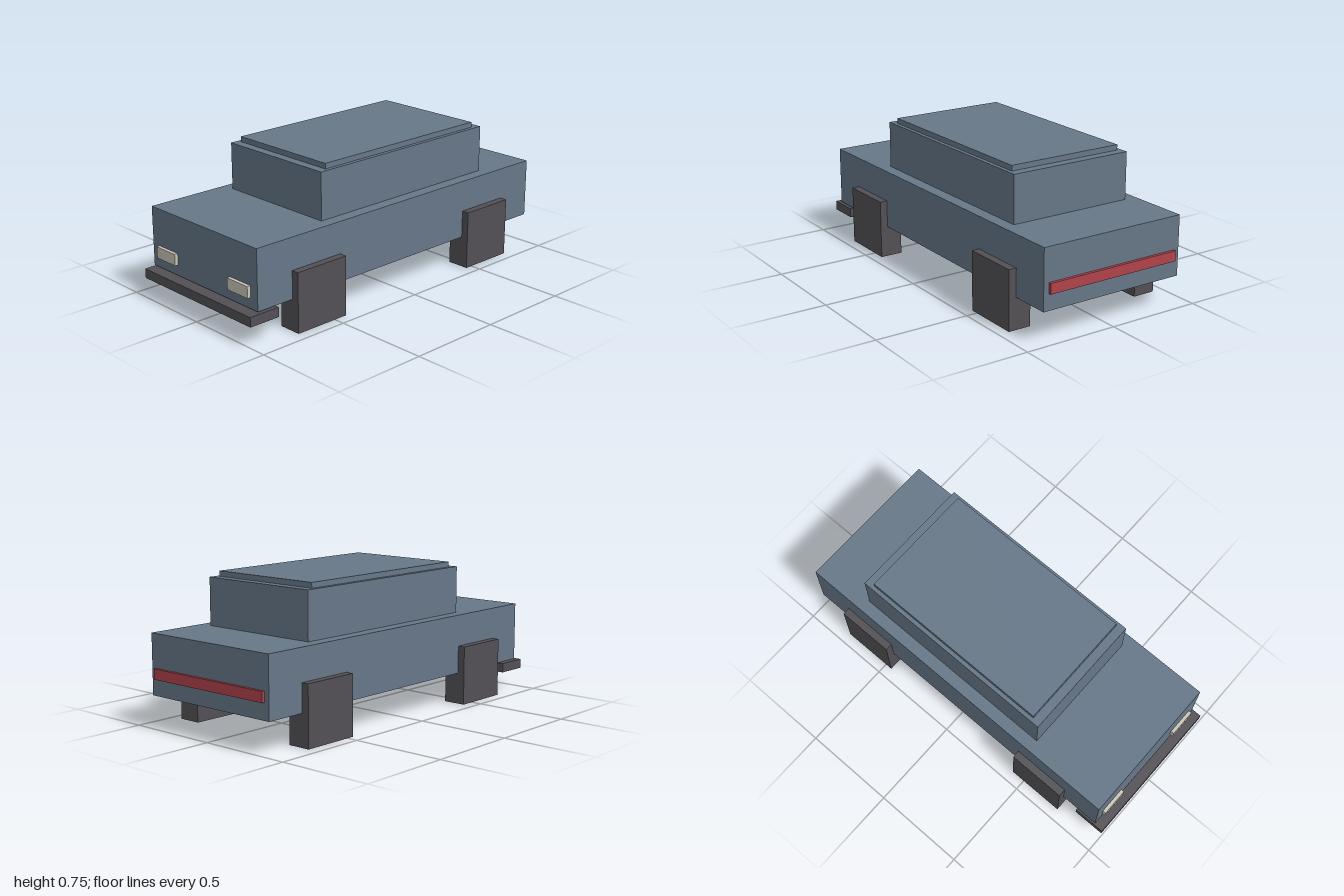
import * as THREE from 'three';

const material = (name, color) => {
  const m = new THREE.MeshStandardMaterial({ color });
  m.name = name;
  return m;
};

export function createModel() {
  const car = new THREE.Group();
  car.name = 'car';

  const paint = material('slate blue paint', 0x667788);
  const rubber = material('dark grey', 0x525054);
  const glass = material('cream lamp', 0xcac6b9);
  const red = material('red lamp', 0xb0424a);

  // Box given by its [min, max] extents on each axis
  const box = (name, mat, [x0, x1], [y0, y1], [z0, z1]) => {
    const mesh = new THREE.Mesh(new THREE.BoxGeometry(x1 - x0, y1 - y0, z1 - z0), mat);
    mesh.position.set((x0 + x1) / 2, (y0 + y1) / 2, (z0 + z1) / 2);
    mesh.name = name;
    car.add(mesh);
  };

  // Body, cabin and raised roof panel
  box('body', paint, [-0.402, 0.402], [0.165, 0.477], [-0.985, 0.947]);
  box('cabin', paint, [-0.337, 0.337], [0.477, 0.723], [-0.658, 0.488]);
  box('roofPanel', paint, [-0.316, 0.316], [0.723, 0.751], [-0.61, 0.441]);

  // Bumper slung below the nose, and full-width tail light
  box('frontBumper', rubber, [-0.41, 0.41], [0.106, 0.156], [0.828, 1]);
  box('tailLight', red, [-0.373, 0.373], [0.25, 0.304], [-1, -0.985]);

  // Mirrored headlights and block wheels
  for (const side of [1, -1]) {
    const label = side > 0 ? 'left' : 'right';
    const span = (a, b) => (side > 0 ? [a, b] : [-b, -a]);
    box(`${label}Headlight`, glass, span(0.203, 0.351), [0.221, 0.281], [0.947, 0.965]);
    for (const [end, z] of [['Front', 0.58], ['Rear', -0.616]]) {
      box(`${label}${end}Wheel`, rubber, span(0.32, 0.442), [0, 0.311], [z - 0.155, z + 0.155]);
    }
  }

  return car;
}
